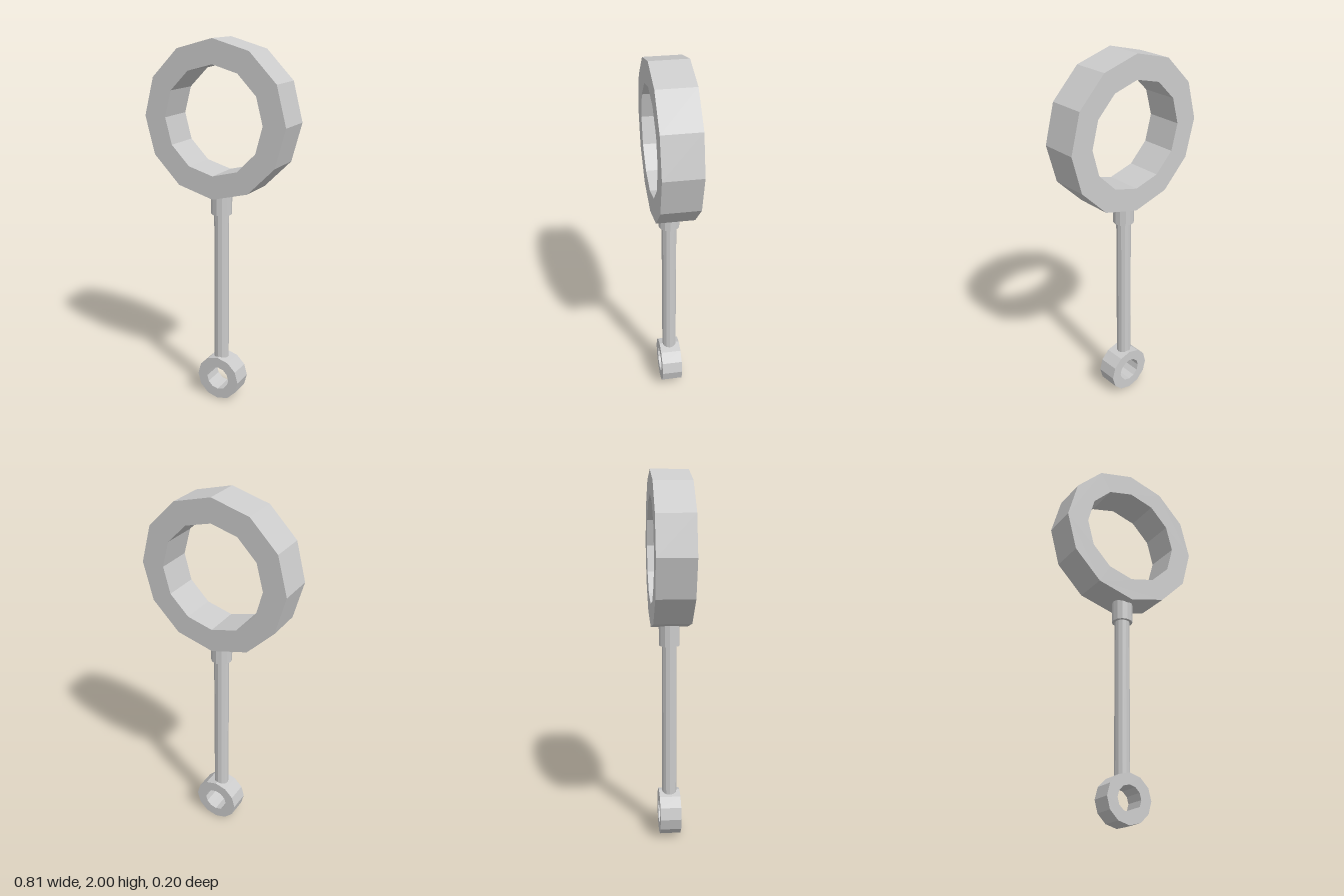
import * as THREE from 'three';

const SIDES = 12;
const material = new THREE.MeshStandardMaterial({ color: 0xcccccc, flatShading: true });

function polygon(target, radius) {
  const points = [];
  for (let i = 0; i < SIDES; i++) {
    const a = (i / SIDES) * Math.PI * 2;
    points.push(new THREE.Vector2(Math.cos(a) * radius, Math.sin(a) * radius));
  }
  return target.setFromPoints(points);
}

// Twelve-sided ring with its bore along z
function ring(name, outer, inner, depth, x, y) {
  const shape = polygon(new THREE.Shape(), outer);
  shape.holes.push(polygon(new THREE.Path(), inner));
  const geometry = new THREE.ExtrudeGeometry(shape, { depth, bevelEnabled: false });
  geometry.translate(0, 0, -depth / 2);
  const mesh = new THREE.Mesh(geometry, material);
  mesh.name = name;
  mesh.position.set(x, y, 0);
  return mesh;
}

// Upright round bar between two heights
function bar(name, radius, bottom, top) {
  const mesh = new THREE.Mesh(new THREE.CylinderGeometry(radius, radius, top - bottom, SIDES), material);
  mesh.name = name;
  mesh.position.y = (bottom + top) / 2;
  return mesh;
}

export function createModel() {
  const model = new THREE.Group();
  model.name = 'connectingRod';
  model.add(
    ring('bigEnd', 0.405, 0.281, 0.197, 0, 1.595),
    bar('collar', 0.056, 1.09, 1.22),
    bar('shaft', 0.04, 0.235, 1.1),
    ring('smallEnd', 0.127, 0.068, 0.115, 0.006, 0.128),
  );
  return model;
}
